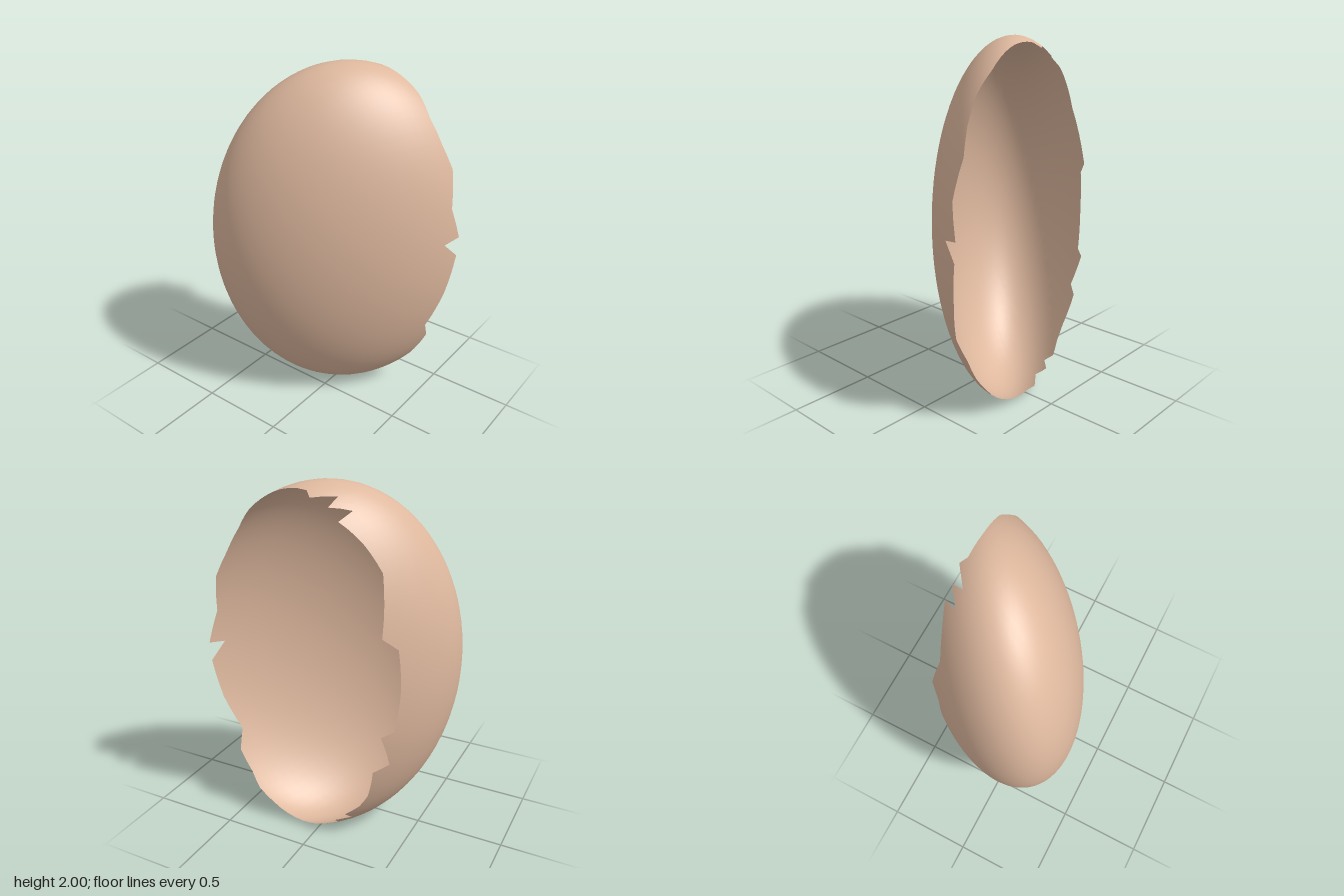
import * as THREE from 'three';

// Broken rim as [y, x] corners: down the front side, then up the back side
const FRONT_RIM = [
  [1.96, 0.34], [1.93, 0.345], [1.85, 0.355], [1.74, 0.335], [1.6, 0.35], [1.47, 0.38],
  [1.26, 0.34], [1.08, 0.39], [1.06, 0.29], [0.97, 0.38], [0.73, 0.34], [0.51, 0.28],
  [0.4, 0.34], [0.27, 0.335], [0.18, 0.355], [0.1, 0.345], [0.035, 0.34],
];
const BACK_RIM = [
  [0.035, 0.34], [0.06, 0.37], [0.06, 0.29], [0.12, 0.36], [0.12, 0.29], [0.18, 0.36],
  [0.24, 0.33], [0.32, 0.33], [0.51, 0.37], [0.54, 0.3], [0.74, 0.38], [0.76, 0.32],
  [1.0, 0.31], [1.22, 0.315], [1.29, 0.38], [1.6, 0.31], [1.74, 0.335], [1.84, 0.37],
  [1.88, 0.29], [1.9, 0.36], [1.94, 0.29], [1.94, 0.37], [1.967, 0.34],
];

// The egg is a unit sphere, scaled and sheared so its oval section lies diagonally
const CENTRE_X = 0.2, WIDTH = 0.6, SHEAR = 0.333, DEPTH = 0.558;
const RINGS = 24, MAX_STEP = 0.1;

// Angle around the x axis and sphere x for one rim corner
function rimCorner([y, x], side) {
  const ux = (x - CENTRE_X) / WIDTH;
  const uy = y - 1;
  const uz = side * Math.sqrt(Math.max(0, 1 - ux * ux - uy * uy));
  const angle = Math.atan2(uz, uy);
  return { angle: angle < 0 ? angle + Math.PI * 2 : angle, ux };
}

// Rim corners with extra points along the longer edges
function rimColumns() {
  const corners = [
    ...FRONT_RIM.map((p) => rimCorner(p, 1)),
    ...BACK_RIM.map((p) => rimCorner(p, -1)),
  ];
  corners.push({ angle: corners[0].angle + Math.PI * 2, ux: corners[0].ux });
  const columns = [corners[0]];
  for (let i = 1; i < corners.length; i++) {
    const a = corners[i - 1], b = corners[i];
    const steps = Math.max(1, Math.ceil(Math.abs(b.angle - a.angle) / MAX_STEP));
    for (let s = 1; s <= steps; s++) {
      const t = s / steps;
      columns.push({
        angle: THREE.MathUtils.lerp(a.angle, b.angle, t),
        ux: THREE.MathUtils.lerp(a.ux, b.ux, t),
      });
    }
  }
  return columns;
}

function shellGeometry() {
  const columns = rimColumns();
  const positions = [], normals = [], indices = [];
  const row = RINGS + 1;
  columns.forEach(({ angle, ux }, j) => {
    const reach = Math.acos(-ux);
    for (let i = 0; i <= RINGS; i++) {
      const theta = (reach * i) / RINGS;
      const sx = -Math.cos(theta);
      const sy = Math.sin(theta) * Math.cos(angle);
      const sz = Math.sin(theta) * Math.sin(angle);
      positions.push(CENTRE_X + WIDTH * sx, 1 + sy, SHEAR * sx + DEPTH * sz);
      const nz = sz / DEPTH;
      const n = new THREE.Vector3((sx - SHEAR * nz) / WIDTH, sy, nz).normalize();
      normals.push(n.x, n.y, n.z);
      if (j > 0 && i > 0) {
        const b = j * row + i, a = b - row;
        indices.push(a - 1, b, a);
        if (i > 1) indices.push(a - 1, b - 1, b);
      }
    }
  });
  const geometry = new THREE.BufferGeometry();
  geometry.setAttribute('position', new THREE.Float32BufferAttribute(positions, 3));
  geometry.setAttribute('normal', new THREE.Float32BufferAttribute(normals, 3));
  geometry.setIndex(indices);
  return geometry;
}

export function createModel() {
  const group = new THREE.Group();
  group.name = 'brokenEggshell';

  const shellTan = new THREE.MeshStandardMaterial({ color: 0xdeb89e, side: THREE.DoubleSide });
  shellTan.name = 'shellTan';

  // Thin open shell with a jagged rim
  const shell = new THREE.Mesh(shellGeometry(), shellTan);
  shell.name = 'shell';
  group.add(shell);
  return group;
}
